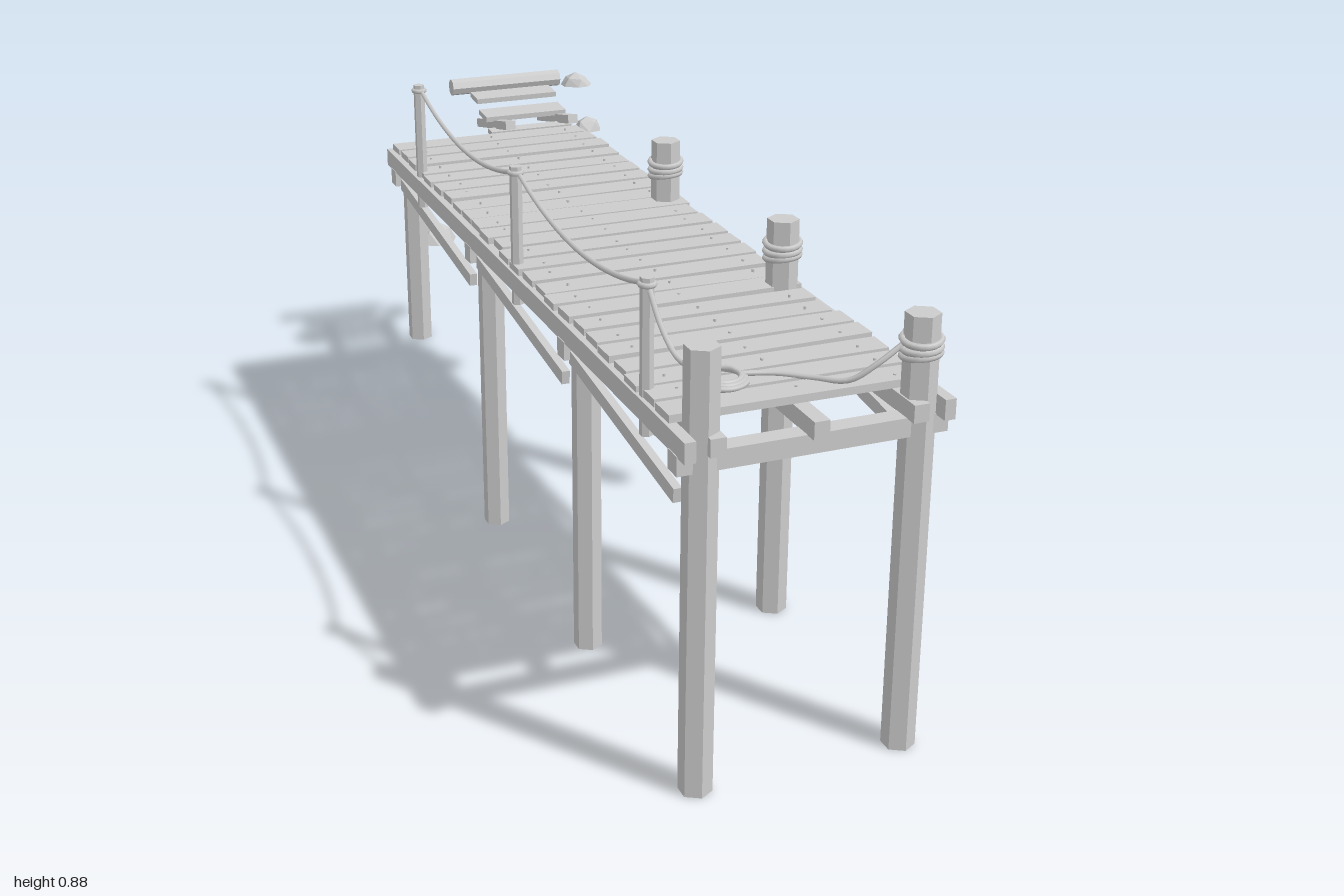
import * as THREE from 'three';
import { ConvexGeometry } from 'three/addons/geometries/ConvexGeometry.js';

const wood = new THREE.MeshStandardMaterial({ color: 0xcccccc, flatShading: true });
const ropeMat = new THREE.MeshStandardMaterial({ color: 0xcccccc });

let seed = 7;
function rand(a, b) {
  seed = (seed * 16807) % 2147483647;
  return a + (b - a) * (seed / 2147483647);
}

export function createModel() {
  const model = new THREE.Group();

  function add(name, geometry, x, y, z, material = wood) {
    const mesh = new THREE.Mesh(geometry, material);
    mesh.name = name;
    mesh.position.set(x, y, z);
    model.add(mesh);
    return mesh;
  }
  const box = (name, w, h, d, x, y, z) => add(name, new THREE.BoxGeometry(w, h, d), x, y, z);

  // Upright six-sided post from y0 to y1
  const post = (name, r, x, z, y0, y1) =>
    add(name, new THREE.CylinderGeometry(r, r, y1 - y0, 6), x, (y0 + y1) / 2, z);

  // Timber running in the y-z plane between two points
  function timber(name, w, h, x, y0, z0, y1, z1) {
    const mesh = box(name, w, h, Math.hypot(y1 - y0, z1 - z0), x, (y0 + y1) / 2, (z0 + z1) / 2);
    mesh.rotation.x = -Math.atan2(y1 - y0, z1 - z0);
  }

  function rope(name, points, segments = 24) {
    const curve = new THREE.CatmullRomCurve3(points.map(p => new THREE.Vector3(...p)));
    add(name, new THREE.TubeGeometry(curve, segments, 0.005, 6), 0, 0, 0, ropeMat);
  }

  // Turns of rope around a pile
  function wrap(x, z) {
    [0.738, 0.75, 0.765].forEach((y, i) => {
      const ring = add('ropeWrap', new THREE.TorusGeometry(0.032, 0.006, 6, 18), x, y, z, ropeMat);
      ring.rotation.set(Math.PI / 2 + (i - 1) * 0.12, 0.08, 0);
    });
  }

  // Piles: z, left-hand bottom/top, right-hand bottom/top
  const piles = [
    [0.95, 0, 0.81, 0, 0.81],
    [0.435, 0, 0.66, 0, 0.81],
    [-0.125, 0, 0.66, 0.145, 0.81],
    [-0.69, 0.22, 0.65, 0.46, 0.65],
  ];
  piles.forEach(([z, b0, t0, b1, t1], i) => {
    const full = i < 3;
    post('pile', i === 0 ? 0.03 : 0.027, -0.238, z, b0, t0);
    post('pile', full ? 0.03 : 0.027, 0.15, z, b1, t1);
    box('crossBeam', 0.485, 0.035, 0.036, -0.044, 0.6175, z);
    if (full) wrap(0.15, z);
  });

  // Stringers under the deck and side boards
  for (const x of [-0.225, -0.045, 0.135]) box('stringer', 0.028, 0.032, 1.73, x, 0.65, 0.125);
  for (const x of [-0.275, 0.185]) box('sideBeam', 0.02, 0.037, 1.74, x, 0.651, 0.125);

  // Slanted braces on both sides
  const braces = [[0.93, 0.45], [0.41, -0.1], [-0.15, -0.67]];
  for (const x of [-0.268, 0.18])
    for (const [front, back] of braces) timber('brace', 0.015, 0.026, x, 0.605, back, 0.548, front);

  // Deck planks, slightly uneven, with nail heads over the stringers
  const count = 25, pitch = 1.67 / count;
  for (let i = 0; i < count; i++) {
    const z = -0.745 + pitch * (i + 0.5);
    const plank = box('deckPlank', rand(0.45, 0.465), 0.014, pitch - rand(0.008, 0.014),
      -0.046 + rand(-0.004, 0.004), 0.675 + rand(-0.001, 0.002), z);
    plank.rotation.set(rand(-0.02, 0.02), rand(-0.012, 0.012), rand(-0.005, 0.005));
    for (const x of [-0.225, -0.045, 0.135])
      add('nail', new THREE.CylinderGeometry(0.003, 0.003, 0.006, 5), x + rand(-0.005, 0.005), 0.683, z + rand(-0.01, 0.01));
  }

  // Rope railing on thin posts
  const rail = [0.8, 0.145, -0.51];
  for (const z of rail) post('railPost', 0.012, -0.269, z, 0.6, 0.875);
  for (let i = 0; i < 2; i++) {
    const points = [];
    for (let k = 0; k <= 8; k++) {
      const t = k / 8;
      points.push([-0.265, 0.863 - 0.05 * 4 * t * (1 - t), THREE.MathUtils.lerp(rail[i], rail[i + 1], t)]);
    }
    rope('railRope', points);
  }
  rope('railRope', [[-0.268, 0.863, 0.8], [-0.266, 0.81, 0.85], [-0.262, 0.778, 0.9], [-0.255, 0.77, 0.94]]);
  for (const z of rail) {
    const knot = add('railKnot', new THREE.TorusGeometry(0.012, 0.005, 6, 12), -0.269, 0.863, z, ropeMat);
    knot.rotation.x = Math.PI / 2;
  }

  // Mooring line falling from the front pile into a coil on the deck
  rope('mooringLine', [[0.122, 0.755, 0.94], [0.08, 0.725, 0.935], [0.04, 0.694, 0.915], [0, 0.687, 0.87],
    [-0.05, 0.687, 0.83], [-0.11, 0.688, 0.81]]);
  const coil = [];
  for (let k = 0; k <= 36; k++) {
    const a = k * Math.PI / 6, r = 0.045 - k * 0.0004;
    coil.push([-0.15 + r * Math.cos(a), 0.688 + k * 0.0003, 0.825 + r * Math.sin(a)]);
  }
  rope('ropeCoil', coil, 90);

  // Broken-off end: joists, loose planks and a log
  for (const x of [0.01, 0.165]) timber('brokenJoist', 0.024, 0.02, x, 0.65, -0.955, 0.7, -0.728);
  const loose = [[0.668, -0.795, 0.03], [0.695, -0.85, 0.06], [0.722, -0.917, 0.055]];
  for (const [y, z, d] of loose) box('loosePlank', 0.2, 0.012, d, 0.08, y, z).rotation.x = 0.08;
  add('log', new THREE.CylinderGeometry(0.02, 0.02, 0.275, 8), 0.08, 0.737, -0.98).rotation.z = Math.PI / 2;

  // Flat-bottomed faceted rocks
  const rocks = [[-0.1, 0.557, -0.935, 0.045, 0.043], [-0.165, 0.42, -0.79, 0.05, 0.048],
    [0.245, 0.73, -0.925, 0.038, 0.031], [0.222, 0.655, -0.785, 0.034, 0.031]];
  for (const [x, y, z, r, h] of rocks) {
    const points = [new THREE.Vector3(rand(-0.1, 0.1) * r, h, rand(-0.1, 0.1) * r)];
    for (const [n, radius, height] of [[7, 1, 0], [5, 0.72, 0.65]])
      for (let k = 0; k < n; k++) {
        const a = (k + rand(-0.2, 0.2)) * 2 * Math.PI / n, q = r * radius * rand(0.9, 1.05);
        points.push(new THREE.Vector3(q * Math.cos(a), h * height * rand(0.85, 1.15), q * Math.sin(a)));
      }
    add('rock', new ConvexGeometry(points), x, y, z);
  }

  return model;
}
